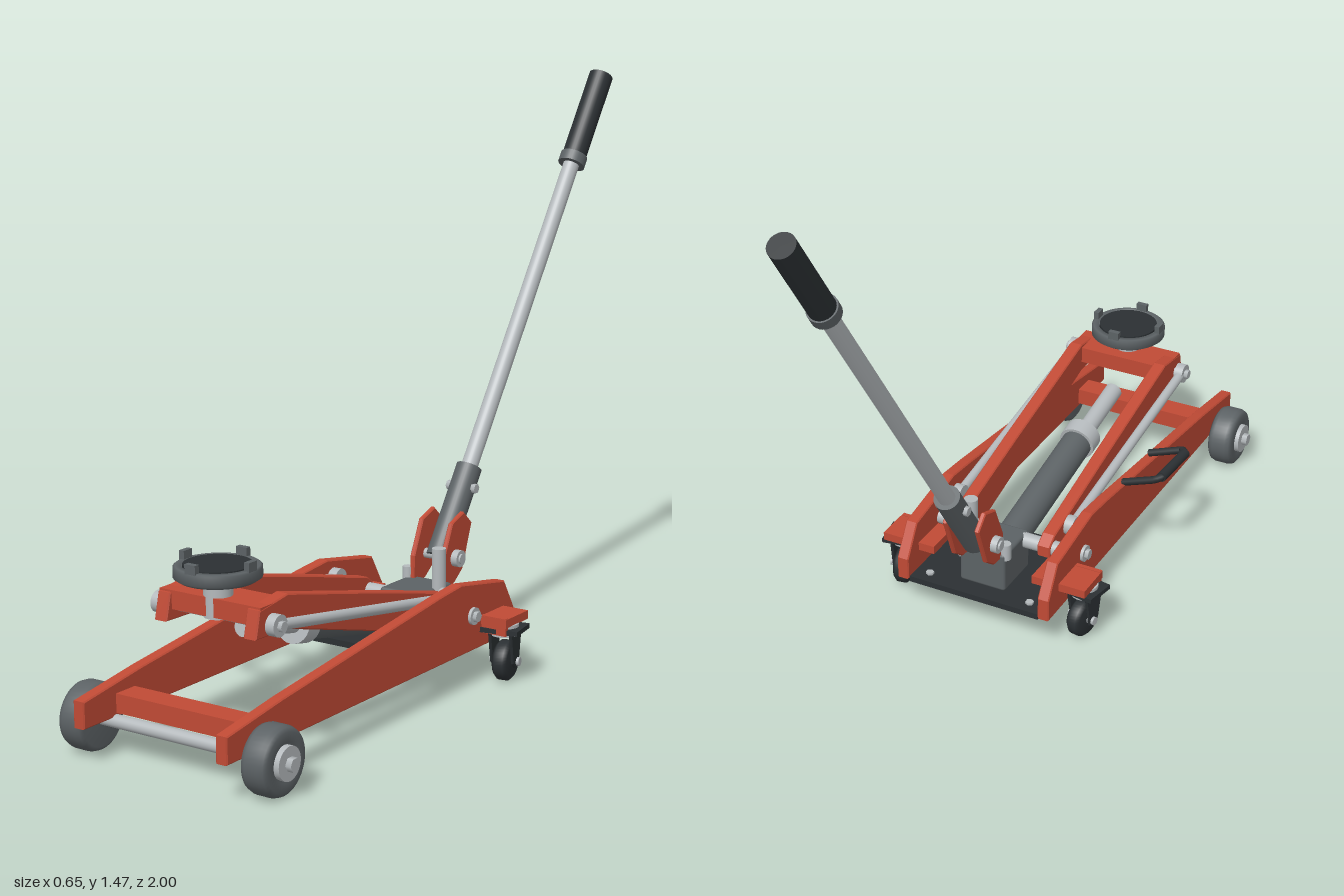
import * as THREE from 'three';
import { RoundedBoxGeometry } from 'three/addons/geometries/RoundedBoxGeometry.js';

const mat = (color) => new THREE.MeshStandardMaterial({ color });
const RED = mat(0xc04a35), STEEL = mat(0xb4b9bc), GREY = mat(0x5c6265), BLACK = mat(0x2b3033);
const V = (x, y, z) => new THREE.Vector3(x, y, z);

export function createModel() {
  const root = new THREE.Group();

  const add = (name, geo, material, parent = root) => {
    const m = new THREE.Mesh(geo, material);
    m.name = name;
    parent.add(m);
    return m;
  };
  const box = (name, w, h, d, x, y, z, material, parent) => {
    const m = add(name, new THREE.BoxGeometry(w, h, d), material, parent);
    m.position.set(x, y, z);
    return m;
  };
  // round bar between two points
  const rod = (name, a, b, r, material, parent, sides = 28) => {
    const m = add(name, new THREE.CylinderGeometry(r, r, a.distanceTo(b), sides), material, parent);
    m.position.copy(a).add(b).multiplyScalar(0.5);
    m.quaternion.setFromUnitVectors(V(0, 1, 0), b.clone().sub(a).normalize());
    return m;
  };
  // flat plate with a [z, y] outline, centred on x
  const plate = (name, outline, thick, x, material, parent) => {
    const shape = new THREE.Shape(outline.map(([z, y]) => new THREE.Vector2(z, y)));
    const b = 0.003;
    const geo = new THREE.ExtrudeGeometry(shape, {
      depth: thick - 2 * b, bevelSize: b, bevelOffset: -b, bevelThickness: b, bevelSegments: 1,
    });
    geo.translate(0, 0, b - thick / 2).rotateY(-Math.PI / 2);
    const m = add(name, geo, material, parent);
    m.position.x = x;
    return m;
  };
  // turned part along x from [radius, offset] pairs
  const turned = (name, pts, x, y, z, dir, material, parent) => {
    const geo = new THREE.LatheGeometry(pts.map(([r, h]) => new THREE.Vector2(r, h)), 40);
    geo.rotateZ(-dir * Math.PI / 2);
    const m = add(name, geo, material, parent);
    m.position.set(x, y, z);
    return m;
  };

  // frame
  const frameOutline = [[1, 0.09], [1, 0.155], [0.8, 0.185], [0.16, 0.262], [0.07, 0.27],
    [-0.13, 0.235], [-0.18, 0.15], [-0.18, 0.09]];
  const armOutline = [[0.8, 0.305], [0.785, 0.37], [0.68, 0.385], [0.28, 0.292], [0, 0.222],
    [-0.03, 0.2], [-0.03, 0.17], [0, 0.15], [0.12, 0.15], [0.68, 0.302]];
  for (const s of [-1, 1]) {
    plate('sidePlate', frameOutline, 0.032, s * 0.203, RED);
    plate('liftArm', armOutline, 0.036, s * 0.128, RED);

    // parallel link and its pins
    rod('linkRod', V(s * 0.166, 0.332, 0.75), V(s * 0.166, 0.225, 0.06), 0.013, STEEL);
    for (const [y, z] of [[0.332, 0.75], [0.225, 0.06]])
      rod('linkEye', V(s * 0.153, y, z), V(s * 0.177, y, z), 0.026, STEEL);
    rod('linkBolt', V(s * 0.1, 0.332, 0.75), V(s * 0.188, 0.332, 0.75), 0.013, STEEL, root, 6);
    rod('pivotWasher', V(s * 0.21, 0.18, 0.02), V(s * 0.227, 0.18, 0.02), 0.022, STEEL);
    rod('pivotBolt', V(s * 0.22, 0.18, 0.02), V(s * 0.237, 0.18, 0.02), 0.014, STEEL, root, 6);

    // front wheel
    const wheel = new THREE.Group();
    wheel.name = 'frontWheel';
    wheel.position.set(s * 0.261, 0.081, 0.892);
    root.add(wheel);
    turned('tyre', [[0, -0.035], [0.068, -0.035], [0.077, -0.029], [0.081, -0.018], [0.081, 0.018],
      [0.077, 0.029], [0.068, 0.035], [0.045, 0.035], [0.042, 0.03], [0, 0.03]], 0, 0, 0, s, GREY, wheel);
    rod('hub', V(s * 0.02, 0, 0), V(s * 0.045, 0, 0), 0.04, STEEL, wheel);
    rod('hubNut', V(s * 0.04, 0, 0), V(s * 0.06, 0, 0), 0.017, STEEL, wheel, 6);

    // rear caster with its mount
    box('casterBracket', 0.15, 0.022, 0.105, s * 0.217, 0.16, -0.071, RED);
    box('casterBracketLip', 0.07, 0.045, 0.012, s * 0.255, 0.15, -0.025, RED);
    const caster = new THREE.Group();
    caster.name = 'caster';
    caster.position.set(s * 0.262, 0, -0.062);
    caster.rotation.y = s * 0.17;
    root.add(caster);
    rod('swivel', V(0, 0.12, 0), V(0, 0.15, 0), 0.036, STEEL, caster);
    box('forkTop', 0.1, 0.012, 0.085, 0, 0.136, 0, BLACK, caster);
    for (const k of [-1, 1])
      plate('forkCheek', [[-0.035, 0.13], [-0.018, 0.04], [0.006, 0.036], [0.02, 0.05], [0.035, 0.13]],
        0.008, k * 0.028, BLACK, caster);
    turned('casterWheel', [[0, -0.02], [0.042, -0.02], [0.051, -0.011], [0.051, 0.011], [0.042, 0.02], [0, 0.02]],
      0, 0.051, -0.006, s, BLACK, caster);
    rod('casterAxle', V(-0.039, 0.051, -0.006), V(0.039, 0.051, -0.006), 0.011, STEEL, caster);
  }
  box('frontBeam', 0.38, 0.046, 0.065, 0, 0.123, 0.858, RED);
  rod('frontAxle', V(-0.3, 0.081, 0.892), V(0.3, 0.081, 0.892), 0.016, STEEL);
  rod('pivotShaft', V(-0.19, 0.187, -0.005), V(0.19, 0.187, -0.005), 0.02, STEEL);

  // base plate and its bolts
  box('basePlate', 0.372, 0.016, 0.33, 0, 0.09, -0.01, BLACK);
  for (const x of [-0.145, 0.145])
    for (const z of [-0.14, 0.12])
      rod('baseBolt', V(x, 0.076, z), V(x, 0.104, z), 0.011, STEEL, root, 6);

  // saddle on the arm ends
  box('armCrossPlate', 0.29, 0.045, 0.1, 0, 0.353, 0.73, RED);
  rod('armCrossPin', V(-0.12, 0.332, 0.75), V(0.12, 0.332, 0.75), 0.013, STEEL);
  const saddle = new THREE.Group();
  saddle.name = 'saddle';
  saddle.position.z = 0.748;
  root.add(saddle);
  rod('saddlePost', V(0, 0.325, 0), V(0, 0.42, 0), 0.034, STEEL, saddle);
  const dish = new THREE.LatheGeometry([[0, 0.412], [0.09, 0.412], [0.102, 0.42], [0.102, 0.443], [0.097, 0.447],
    [0.083, 0.447], [0.083, 0.437], [0, 0.437]].map(([r, y]) => new THREE.Vector2(r, y)), 48);
  add('saddleDish', dish, GREY, saddle);
  rod('saddlePad', V(0, 0.43, 0), V(0, 0.449, 0), 0.08, BLACK, saddle, 40);
  for (let i = 0; i < 4; i++) {
    const a = i * Math.PI / 2;
    const lug = box('saddleLug', 0.03, 0.03, 0.014, Math.sin(a) * 0.093, 0.452, Math.cos(a) * 0.093, GREY, saddle);
    lug.rotation.y = a;
  }

  // hydraulic ram
  const ramAt = (z) => V(0, 0.142 + 0.205 * z, z);
  add('pumpBlock', new RoundedBoxGeometry(0.13, 0.11, 0.14, 2, 0.008), GREY).position.set(0, 0.152, -0.055);
  rod('ramCylinder', ramAt(-0.02), ramAt(0.45), 0.042, GREY);
  rod('ramCollar', ramAt(0.425), ramAt(0.47), 0.05, STEEL);
  rod('ramPiston', ramAt(0.45), ramAt(0.66), 0.024, STEEL);
  rod('pumpPlunger', V(0.063, 0.19, -0.065), V(0.063, 0.31, -0.065), 0.018, STEEL);
  rod('releaseValve', V(-0.06, 0.19, -0.108), V(-0.06, 0.235, -0.108), 0.014, STEEL);
  rod('sideValve', V(0.05, 0.16, -0.09), V(0.082, 0.16, -0.09), 0.016, STEEL, root, 6);

  // handle yoke
  for (const s of [-1, 1])
    plate('yokePlate', [[-0.1, 0.19], [-0.105, 0.265], [-0.145, 0.355], [-0.2, 0.375], [-0.238, 0.34],
      [-0.195, 0.225], [-0.155, 0.195]], 0.014, s * 0.045, RED);
  rod('yokePin', V(-0.075, 0.262, -0.158), V(0.075, 0.262, -0.158), 0.013, STEEL);
  for (const s of [-1, 1])
    rod('yokePinHead', V(s * 0.052, 0.262, -0.158), V(s * 0.07, 0.262, -0.158), 0.022, STEEL);

  // long handle
  const tip = V(0, 1.447, -0.973), foot = V(0, 0.255, -0.16);
  const along = (t) => foot.clone().lerp(tip, t);
  rod('handleSocket', along(0.0), along(0.178), 0.034, GREY);
  rod('handleTube', along(0.12), along(0.85), 0.022, STEEL);
  rod('gripCollar', along(0.805), along(0.825), 0.037, GREY);
  rod('grip', along(0.815), tip, 0.033, BLACK);
  rod('socketBolt', V(-0.044, 0.42, -0.272), V(0.044, 0.42, -0.272), 0.013, STEEL, root, 6);

  // carrying handle on the right side plate
  const pts = [V(-0.21, 0.25, 0.275), V(-0.3, 0.283, 0.275), V(-0.313, 0.286, 0.29),
    V(-0.32, 0.286, 0.43), V(-0.305, 0.283, 0.447), V(-0.21, 0.25, 0.442)];
  const path = new THREE.CurvePath();
  for (let i = 1; i < pts.length; i++) path.add(new THREE.LineCurve3(pts[i - 1], pts[i]));
  add('carryHandle', new THREE.TubeGeometry(path, 60, 0.01, 12), BLACK);
  rod('carryGrip', V(-0.312, 0.286, 0.29), V(-0.319, 0.286, 0.43), 0.0135, BLACK);

  return root;
}
